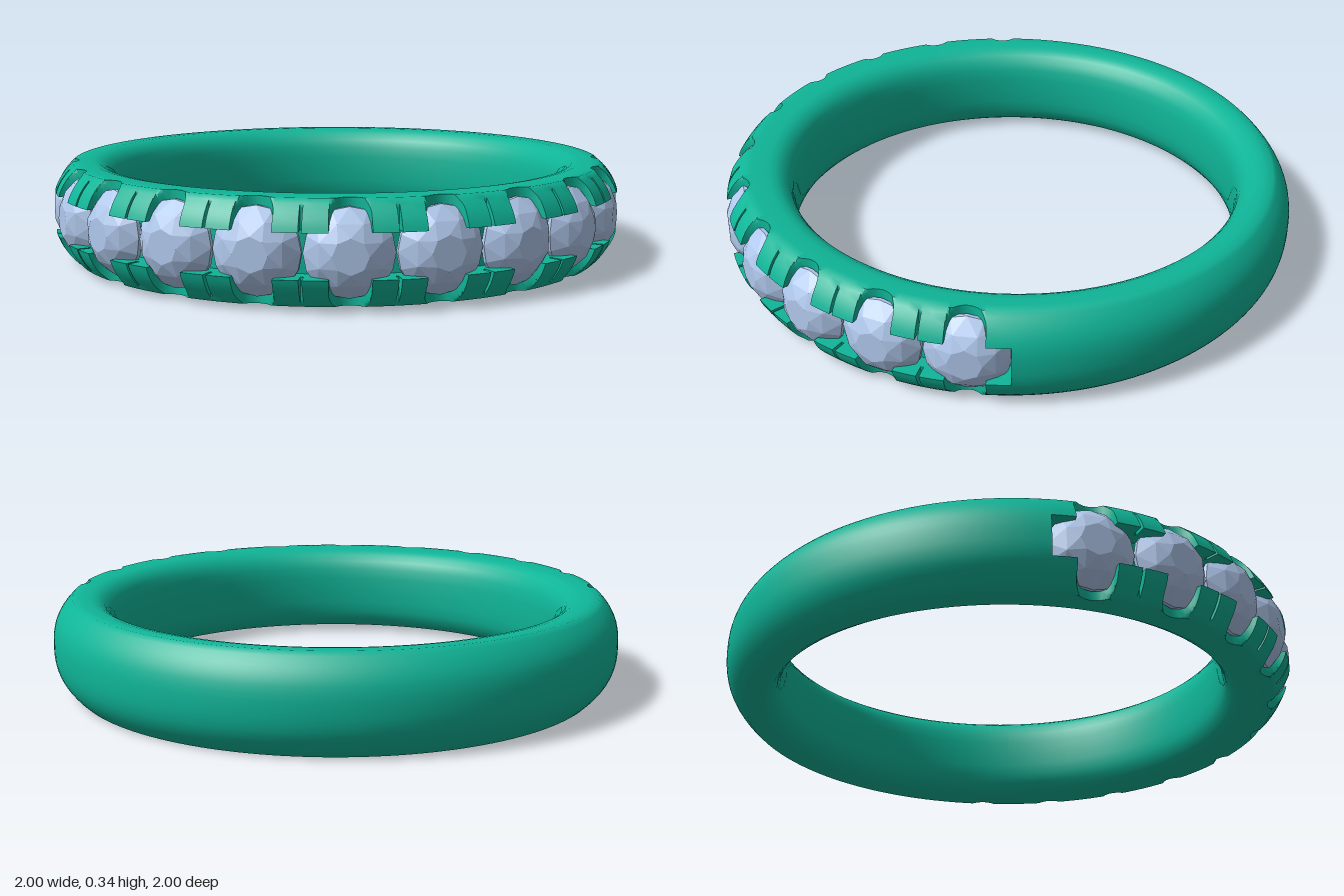
import * as THREE from 'three';
import { toCreasedNormals } from 'three/addons/utils/BufferGeometryUtils.js';
import { ConvexGeometry } from 'three/addons/geometries/ConvexGeometry.js';

const STONES = 11;
const STEP = THREE.MathUtils.degToRad(17.1);
const HALF_H = 0.163;      // half height of the band
const CHANNEL = 0.07;      // half height of the groove holding the stones
const CHANNEL_R = 0.9;
const INNER_SHIFT = -0.025; // the finger hole sits slightly to the back

// Closed cross-section, counter-clockwise: [radius, y, inChannel]
function bandProfile() {
  const outer = y => 1 - 0.07 * Math.pow(Math.abs(y) / HALF_H, 2.6);
  const pts = [];
  const arc = (y0, y1, n, inside) => {
    for (let i = 0; i <= n; i++) {
      const y = y0 + (y1 - y0) * i / n;
      pts.push([outer(y), y, inside]);
    }
  };
  arc(-HALF_H, -CHANNEL, 7, false);
  arc(-CHANNEL, CHANNEL, 6, true);
  arc(CHANNEL, HALF_H, 7, false);
  // flat top, rounded comfort-fit inside
  const half = [[0.9, HALF_H], [0.865, HALF_H], [0.84, 0.158], [0.815, 0.143],
    [0.797, 0.12], [0.786, 0.09], [0.781, 0.05]];
  half.forEach(([r, y]) => pts.push([r, y, false]));
  pts.push([0.78, 0, false]);
  half.reverse().forEach(([r, y]) => pts.push([r, -y, false]));
  pts.push(pts[0]);
  return pts;
}

// Angular stations round the band: [angle, radius limit, channel open]
function bandStations() {
  const cols = [];
  const h = STEP / 2, slit = 0.005, w = 0.065, free = 2, slitR = 0.945;
  const last = (STONES - 1) / 2;
  const end = last * STEP + THREE.MathUtils.degToRad(8.2);
  for (let k = -last; k <= last; k++) {
    const c = k * STEP;
    const add = (a, limit, open = true) => cols.push([c + a, limit, open]);
    if (k === -last) {
      cols.push([-end, free, false], [-end, free, true]);
    } else {
      add(-h, slitR); add(-h + slit, slitR); add(-h + slit, free);
    }
    add(-(h + w) / 2, free);
    add(-w, free);
    // half-round scallop above and below each stone
    for (let i = 0; i <= 12; i++) {
      const x = -w * Math.cos(Math.PI * i / 12);
      add(x, 0.975 - Math.sqrt(Math.max(0, w * w - x * x)));
    }
    add(w, free);
    add((h + w) / 2, free);
    if (k === last) {
      cols.push([end, free, true], [end, free, false]);
    } else {
      add(h - slit, free); add(h - slit, slitR); add(h, slitR);
    }
  }
  // plain shank at the back
  const n = 72;
  for (let i = 1; i <= n; i++) {
    cols.push([end + (2 * Math.PI - 2 * end) * i / n, free, false]);
  }
  return cols;
}

function bandGeometry() {
  const profile = bandProfile(), cols = bandStations();
  const pos = [], index = [], m = profile.length;
  for (const [t, limit, open] of cols) {
    for (const [r, y, inside] of profile) {
      const cap = inside ? (open ? CHANNEL_R : 2) : limit;
      const rr = Math.min(r, cap);
      const shift = r < 0.88 ? INNER_SHIFT : 0;
      pos.push(rr * Math.sin(t), y, rr * Math.cos(t) + shift);
    }
  }
  for (let i = 0; i < cols.length - 1; i++) {
    for (let j = 0; j < m - 1; j++) {
      const a = i * m + j, b = a + m;
      index.push(a, b, a + 1, b, b + 1, a + 1);
    }
  }
  const g = new THREE.BufferGeometry();
  g.setAttribute('position', new THREE.Float32BufferAttribute(pos, 3));
  g.setIndex(index);
  return toCreasedNormals(g, 0.8);
}

// Round faceted stone looking along +z; ring z is the distance from the ring axis
function stoneGeometry() {
  const pts = [];
  const ring = (n, r, z, turn) => {
    for (let i = 0; i < n; i++) {
      const a = (i + turn) / n * Math.PI * 2;
      pts.push(new THREE.Vector3(r * Math.cos(a), r * Math.sin(a), z));
    }
  };
  ring(8, 0.055, 0.995, 0);
  ring(8, 0.1, 0.973, 0.5);
  ring(16, 0.138, 0.93, 0);
  ring(16, 0.138, 0.918, 0);
  pts.push(new THREE.Vector3(0, 0, 0.83));
  return new ConvexGeometry(pts);
}

export function createModel() {
  const model = new THREE.Group();
  model.name = 'ring';
  const metal = new THREE.MeshStandardMaterial({ color: 0x0fb598 });
  const gem = new THREE.MeshStandardMaterial({ color: 0xb0c8ec, flatShading: true });

  const band = new THREE.Mesh(bandGeometry(), metal);
  band.name = 'band';
  model.add(band);

  // row of stones round the front half
  const stones = new THREE.Group();
  stones.name = 'stones';
  const geo = stoneGeometry();
  for (let i = 0; i < STONES; i++) {
    const stone = new THREE.Mesh(geo, gem);
    stone.name = 'stone' + (i + 1);
    stone.rotation.y = (i - (STONES - 1) / 2) * STEP;
    stones.add(stone);
  }
  model.add(stones);

  // the ring leans very slightly backwards
  model.rotation.x = -0.008;
  model.position.y = 0.17;
  const root = new THREE.Group();
  root.name = 'stoneSetRing';
  root.add(model);
  return root;
}
